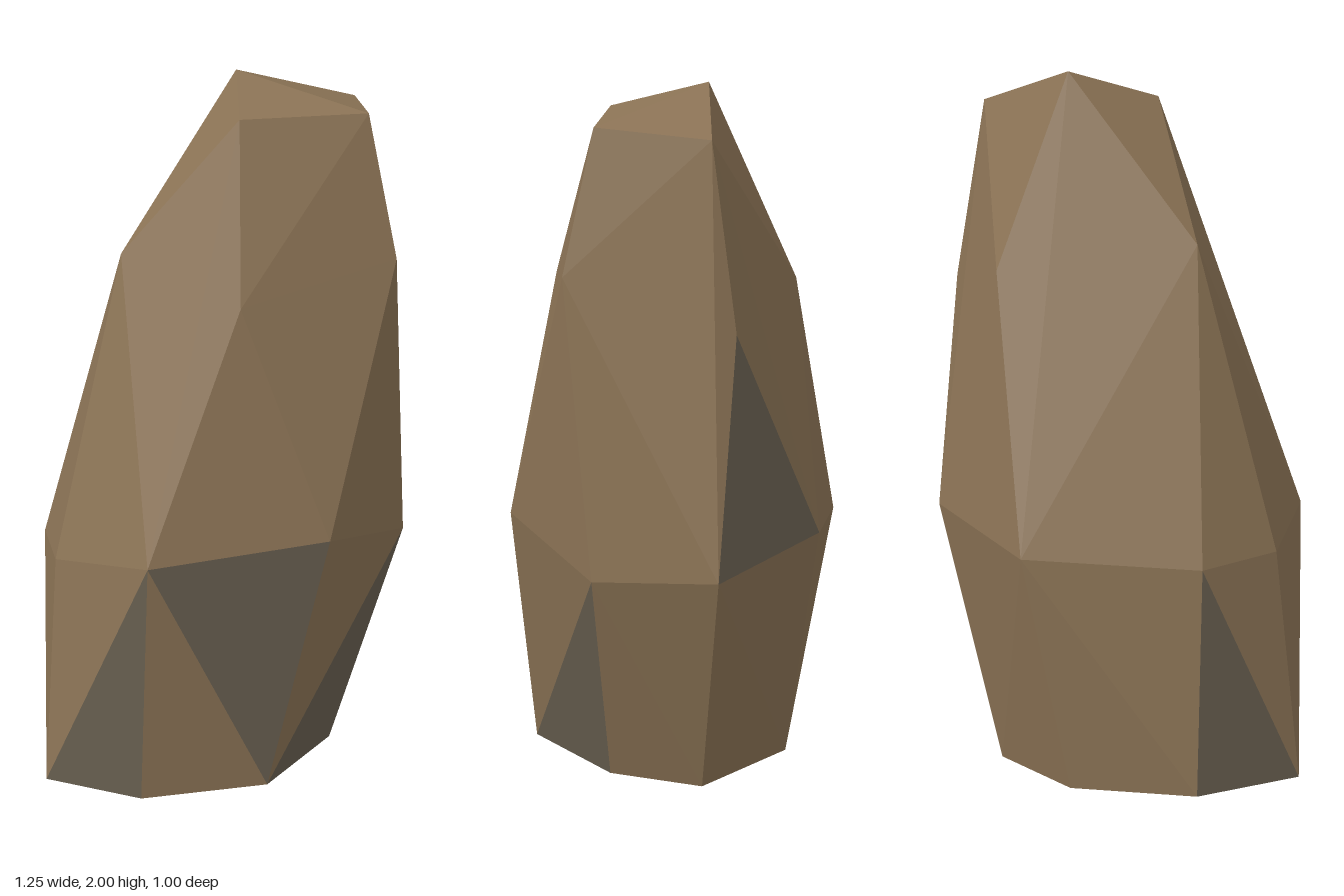
import * as THREE from 'three';
import { ConvexGeometry } from 'three/addons/geometries/ConvexGeometry.js';

// Corner points of the boulder, ring by ring (counterclockwise from the front)
const base = [[-0.12, 0, 0.4], [0.215, 0, 0.26], [0.38, 0, 0.03], [0.205, 0, -0.285],
  [-0.105, 0, -0.41], [-0.45, 0, -0.29], [-0.627, 0, 0], [-0.467, 0, 0.26]];
const waist = [[0.02, 0.765, 0.5], [0.4, 0.67, 0.36], [0.622, 0.71, 0.06], [0.4, 0.75, -0.31],
  [0, 0.68, -0.5], [-0.45, 0.655, -0.268], [-0.56, 0.67, -0.03], [-0.47, 0.732, 0.31]];
const shoulder = [[0.31, 1.52, 0.41], [0.52, 1.38, -0.02], [0.2, 1.45, -0.3],
  [-0.31, 1.53, -0.05], [-0.155, 1.43, 0.31]];
const crown = [[-0.06, 1.92, 0.17], [0.28, 1.92, 0.31], [0.45, 1.9, 0.03], [0.1, 2, -0.07]];

// Facets of darker, greyer stone
const greyFacets = [
  [base[0], base[1], waist[1]],
  [base[0], waist[0], waist[7]],
  [base[6], base[7], waist[7]],
  [base[5], base[6], waist[5]],
  [waist[2], waist[3], shoulder[1]],
];

export function createModel() {
  const brownStone = new THREE.MeshStandardMaterial({ name: 'brownStone', color: 0x8b7355 });
  const greyStone = new THREE.MeshStandardMaterial({ name: 'greyStone', color: 0x696051 });

  // Faceted hull with hard edges
  const points = [...base, ...waist, ...shoulder, ...crown].map((p) => new THREE.Vector3(...p));
  const hull = new ConvexGeometry(points);
  const pos = hull.getAttribute('position');

  // A facet is grey when its centre matches one of the listed facets
  const centre = (a, b, c) => a.clone().add(b).add(c).divideScalar(3);
  const greyCentres = greyFacets.map((f) => centre(...f.map((p) => new THREE.Vector3(...p))));
  for (let i = 0; i < pos.count; i += 3) {
    const [a, b, c] = [0, 1, 2].map((k) => new THREE.Vector3().fromBufferAttribute(pos, i + k));
    const mid = centre(a, b, c);
    const grey = greyCentres.some((g) => g.distanceTo(mid) < 0.005);
    hull.addGroup(i, 3, grey ? 1 : 0);
  }

  const boulder = new THREE.Mesh(hull, [brownStone, greyStone]);
  boulder.name = 'boulder';
  const group = new THREE.Group();
  group.name = 'standingRock';
  group.add(boulder);
  return group;
}
